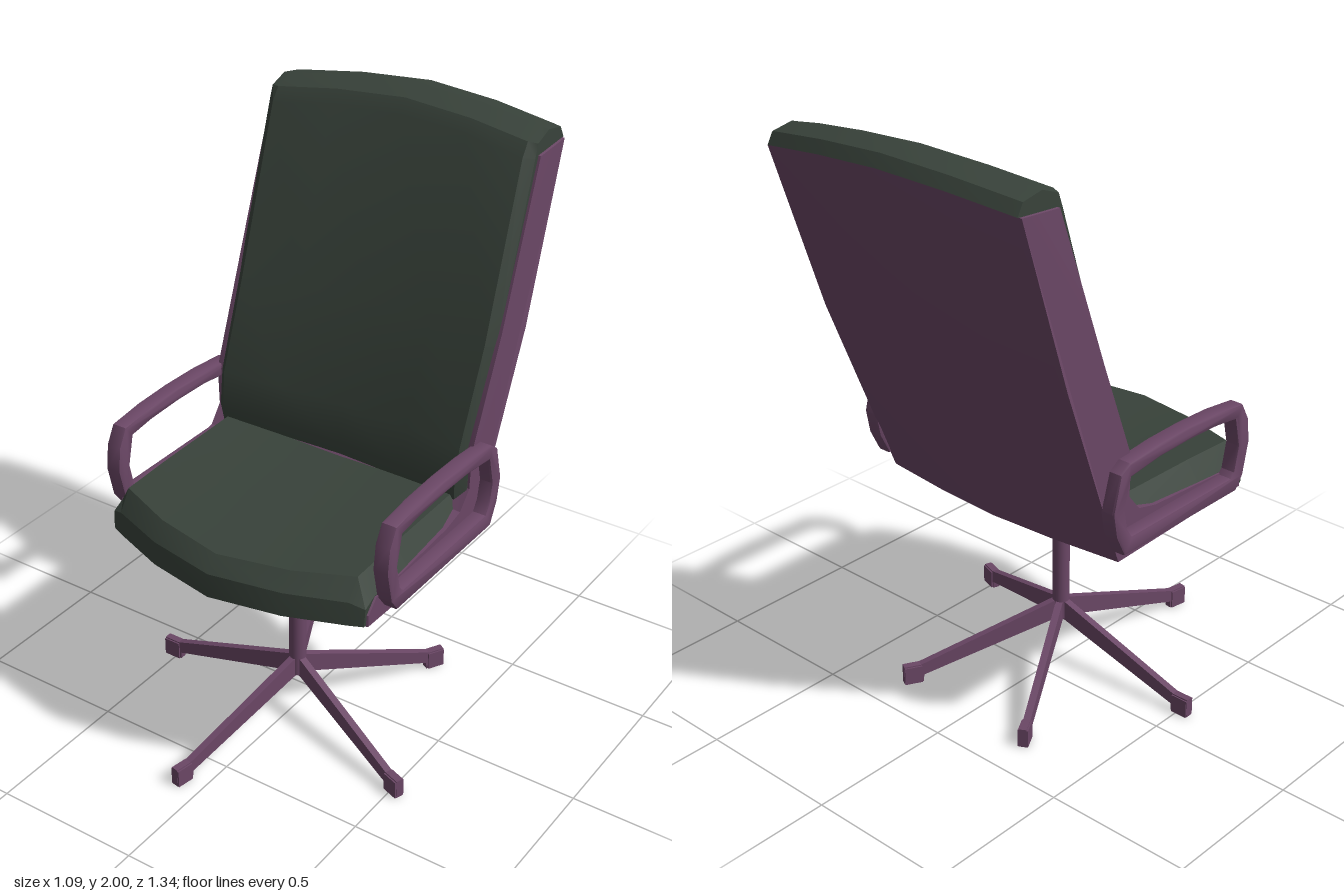
import * as THREE from 'three';
import { toCreasedNormals } from 'three/addons/utils/BufferGeometryUtils.js';

const clamp = (v) => Math.min(1, Math.max(0, v));
const edge = (x) => Math.pow(Math.abs(x) / 0.48, 1.6);   // 0 at the middle, 1 at the sides
const seatFront = (x) => 0.57 - 0.14 * edge(x);

// Backrest bow, slight twist and arched top
function bend(x, z, y) {
  const up = clamp((y - 0.9) / 1.1);
  const bow = 0.04 * (1 - edge(x)) * clamp((0.1 - z) / 0.25);
  const wide = y > 0.72 ? 1 + 0.02 * (1 - ((y - 1.35) / 0.63) ** 2) : 1;
  return [x * wide, y - 0.045 * edge(x) * up, z - bow - 0.035 * x * up];
}

// Solid made from closed (z, y) profiles placed at several x stations
function loft(stations, profile) {
  const pos = [], idx = [];
  const rings = stations.map(profile);
  const n = rings[0].length, last = stations.length - 1;
  rings.forEach((ring, i) => ring.forEach(([z, y]) => pos.push(...bend(stations[i], z, y))));
  for (let i = 0; i < last; i++) {
    for (let j = 0; j < n; j++) {
      const a = i * n + j, b = i * n + (j + 1) % n;
      idx.push(a, a + n, b, b, a + n, b + n);
    }
  }
  for (const end of [0, last]) {
    const pts = rings[end].map(([z, y]) => new THREE.Vector2(z, y));
    for (const [a, b, c] of THREE.ShapeUtils.triangulateShape(pts, [])) {
      const ccw = THREE.ShapeUtils.area([pts[a], pts[b], pts[c]]) > 0;
      const o = end * n;
      if (ccw === (end === 0)) idx.push(o + a, o + b, o + c);
      else idx.push(o + a, o + c, o + b);
    }
  }
  const g = new THREE.BufferGeometry();
  g.setAttribute('position', new THREE.Float32BufferAttribute(pos, 3));
  g.setIndex(idx);
  return toCreasedNormals(g, 0.4);
}

const toPoints = (list) => list.map(([a, b]) => new THREE.Vector2(a, b));

export function createModel() {
  const model = new THREE.Group();
  const frame = new THREE.MeshStandardMaterial({ color: 0x6b4766 });
  frame.name = 'plum frame';
  const fabric = new THREE.MeshStandardMaterial({ color: 0x38423a });
  fabric.name = 'dark green upholstery';

  const add = (name, geometry, material, parent = model) => {
    const mesh = new THREE.Mesh(geometry, material);
    mesh.name = name;
    parent.add(mesh);
    return mesh;
  };

  // L-shaped shell carrying the seat and back
  add('shell', loft([-0.482, -0.46, -0.24, 0, 0.24, 0.46, 0.482], (x) => {
    const f = seatFront(x) - 0.012;
    return [
      [f, 0.71], [f, 0.75], [f - 0.04, 0.795], [-0.02, 0.82], [-0.1, 0.84], [-0.15, 0.9],
      [-0.15, 1.04], [-0.29, 1.4], [-0.48, 1.935], [-0.63, 1.945], [-0.445, 1.36], [-0.19, 0.69],
    ];
  }), frame);

  // Seat cushion: bevelled rim, slightly dished middle
  add('seatCushion', loft([-0.476, -0.43, -0.24, 0, 0.24, 0.43, 0.476], (x) => {
    const f = seatFront(x), rim = Math.abs(x) > 0.45;
    const top = rim ? 0.805 : 0.852 + 0.023 * edge(x);
    return [
      [f, 0.715], [f - 0.005, rim ? 0.775 : 0.795], [f - 0.05, top - 0.008], [0.2, top],
      [-0.16, top + 0.005], [-0.2, 0.75],
    ];
  }), fabric);

  // Back cushion with a cap over the top of the shell
  add('backCushion', loft([-0.474, -0.445, -0.24, 0, 0.24, 0.445, 0.474], (x) => {
    const d = Math.abs(x) > 0.45 ? 0.03 : 0;
    return [
      [-0.12 - d, 0.84], [-0.115 - d, 0.9], [-0.13 - d, 1.04], [-0.25 - d, 1.36],
      [-0.43 - d, 1.93], [-0.46 - d / 2, 1.975], [-0.54, 2.0], [-0.615, 1.985],
      [-0.636, 1.946], [-0.5, 1.9], [-0.22, 0.86],
    ];
  }), fabric);

  // Looped armrests
  const arm = new THREE.Shape(toPoints([
    [0.33, 0.75], [0.36, 0.79], [0.385, 0.9], [0.375, 0.98], [0.345, 1.035], [0.22, 1.05], [0.08, 1.055],
    [-0.06, 1.052], [-0.2, 1.04], [-0.235, 1.015], [-0.265, 0.9], [-0.25, 0.82], [-0.215, 0.75],
  ]));
  arm.holes.push(new THREE.Path(toPoints([
    [0.305, 0.79], [-0.19, 0.79], [-0.215, 0.83], [-0.228, 0.9], [-0.2, 1.005],
    [-0.06, 1.022], [0.08, 1.025], [0.22, 1.02], [0.32, 1.007], [0.345, 0.9], [0.325, 0.81],
  ])));
  const armGeometry = toCreasedNormals(new THREE.ExtrudeGeometry(arm, {
    depth: 0.037, bevelEnabled: true, bevelSize: 0.007, bevelThickness: 0.009, bevelSegments: 2,
  }), 0.5);
  armGeometry.translate(0, 0, -0.0185).rotateY(-Math.PI / 2);
  for (const [name, side] of [['leftArmrest', 1], ['rightArmrest', -1]]) {
    add(name, armGeometry, frame).position.x = side * 0.504;
  }

  // Pedestal: tilt housing, column and five flat legs
  const base = new THREE.Group();
  base.name = 'base';
  base.position.set(0.015, 0, 0.115);
  model.add(base);
  add('tiltHousing', new THREE.LatheGeometry(toPoints([
    [0, 0.63], [0.05, 0.633], [0.1, 0.65], [0.135, 0.68], [0.14, 0.715],
  ]), 24), frame, base);
  const column = add('column', new THREE.CylinderGeometry(0.029, 0.029, 0.49, 20), frame, base);
  column.position.y = 0.4;

  const leg = new THREE.Shape(toPoints([
    [0, 0.15], [0.03, 0.15], [0.49, 0.025], [0.492, 0], [0.558, 0],
    [0.558, 0.066], [0.5, 0.066], [0.03, 0.22], [0, 0.225],
  ]));
  const legGeometry = new THREE.ExtrudeGeometry(leg, { depth: 0.024, bevelEnabled: false });
  legGeometry.translate(0, 0, -0.012);
  const footGeometry = new THREE.BoxGeometry(0.06, 0.062, 0.034);
  for (const degrees of [20, 100, 180, 241, 299]) {
    const spoke = new THREE.Group();
    spoke.name = 'leg';
    spoke.rotation.y = -THREE.MathUtils.degToRad(degrees);
    add('legBeam', legGeometry, frame, spoke);
    add('foot', footGeometry, frame, spoke).position.set(0.527, 0.031, 0);
    base.add(spoke);
  }
  return model;
}
